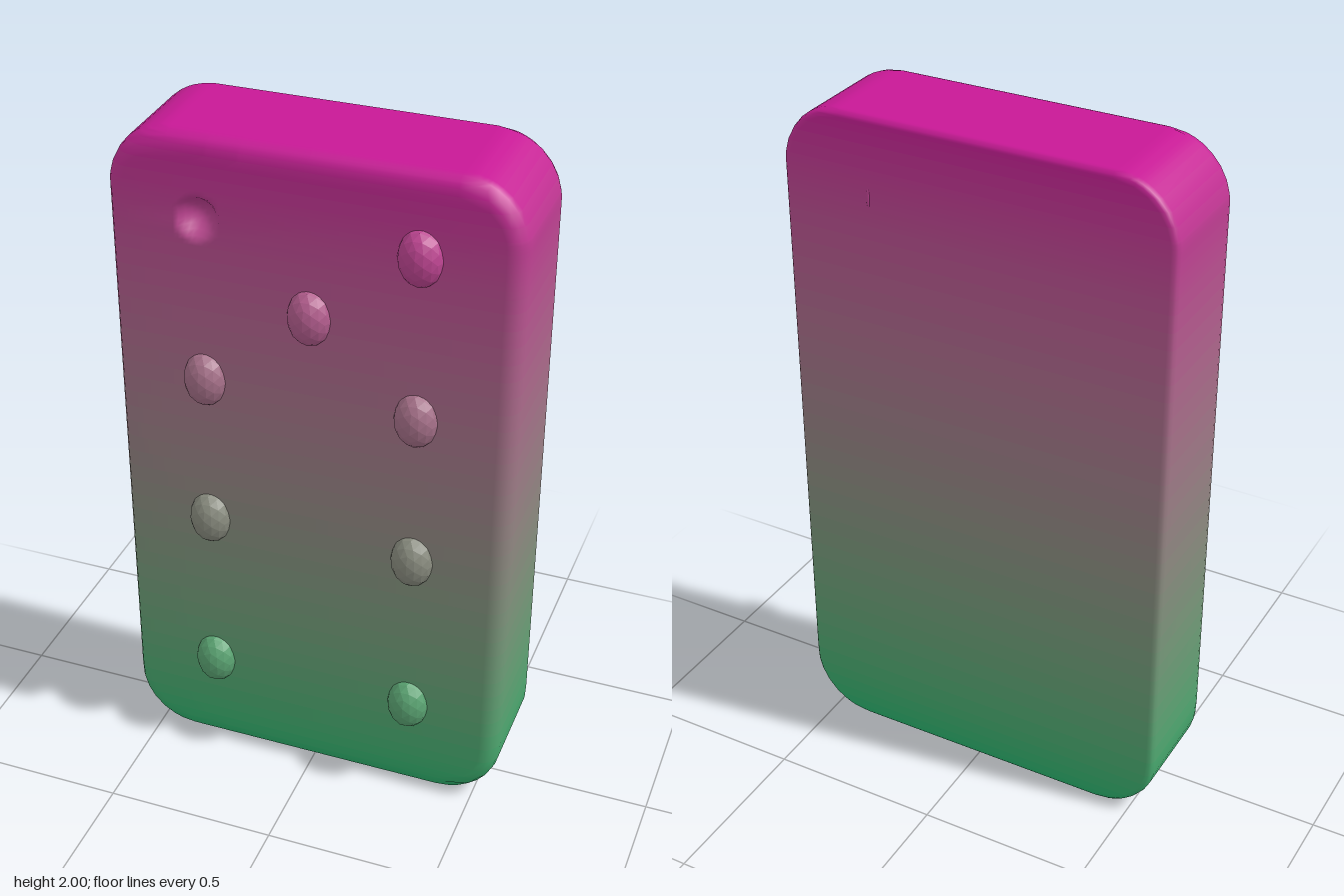
import * as THREE from 'three';
import { mergeVertices } from 'three/addons/utils/BufferGeometryUtils.js';

const H = 2, W = 0.572, R = 0.18;           // height, half width, corner radius
const FRONT = { z: 0.15, e: 0.05, dir: 1 }; // face planes and their edge roundings
const BACK = { z: -0.2, e: 0.02, dir: -1 };
const DENT = { x: -0.31, y: 1.77, r: 0.062, depth: 0.05 };

// Colour fades from green at the foot to magenta at the top
const green = new THREE.Color(0x22b06a), magenta = new THREE.Color(0xc81896);
const colorAt = (y) => green.clone().lerp(magenta, y / H);

// Half width of the rounded outline, inset by t, at height y
function halfWidth(y, t) {
  const dy = Math.max(0, Math.abs(y - H / 2) - (H / 2 - R));
  return W - R + Math.sqrt(Math.max(0, (R - t) ** 2 - dy * dy));
}

// Point on the rounded edge of one face: [half width, z]
function edgePoint(face, y, inset) {
  const t = Math.min(inset, y, H - y);
  const k = Math.min(t, face.e);
  const drop = face.e - Math.sqrt(face.e ** 2 - (face.e - k) ** 2);
  return [halfWidth(y, t), face.z - face.dir * drop];
}

// Horizontal section, running front left to right and then round the back
const frontInsets = [0.05, 0.03, 0.015, 0.004, 0];
const backInsets = [0, 0.004, 0.01, 0.02];
const columns = [-1];
for (let i = 0; i <= 10; i++) columns.push(-0.725 + i * 0.025);
columns.push(0, 1);

function section(y) {
  const [w, z] = edgePoint(FRONT, y, FRONT.e);
  const points = columns.map((u) => {
    const q = Math.hypot(u * w - DENT.x, y - DENT.y) / DENT.r;
    return [u * w, y, z - DENT.depth * Math.max(0, 1 - q * q)];
  });
  const side = [
    ...frontInsets.slice(1).map((t) => edgePoint(FRONT, y, t)),
    ...backInsets.map((t) => edgePoint(BACK, y, t)),
  ];
  side.forEach(([x, sz]) => points.push([x, y, sz]));
  side.reverse().forEach(([x, sz]) => points.push([-x, y, sz]));
  return points;
}

// Body: one smooth skin, shown as thin horizontal bands of colour
function makeBody() {
  const ends = [0, 0.0015, 0.004, 0.01, 0.015, 0.02, 0.03, 0.05, 0.08, 0.115, 0.15];
  const rows = [...ends];
  for (let y = 0.2; y < 1.66; y += 0.05) rows.push(y);
  for (let y = 1.69; y < 1.845; y += 0.0125) rows.push(y);
  ends.slice().reverse().forEach((d) => rows.push(H - d));

  const rings = rows.map(section);
  const n = rings[0].length;
  const index = [], starts = [];
  for (let j = 0; j < rows.length - 1; j++) {
    starts.push(index.length);
    for (let i = 0; i < n; i++) {
      const a = j * n + i, b = j * n + (i + 1) % n;
      index.push(a, b, b + n, a, b + n, a + n);
    }
    // Flat ends
    const top = (rows.length - 1) * n;
    for (let k = 1; k < n - 1; k++) {
      if (j === 0) index.push(0, k + 1, k);
      if (j === rows.length - 2) index.push(top, top + k, top + k + 1);
    }
  }
  starts.push(index.length);

  let skin = new THREE.BufferGeometry();
  skin.setAttribute('position', new THREE.Float32BufferAttribute(rings.flat(2), 3));
  skin.setIndex(index);
  skin = mergeVertices(skin, 1e-5);
  skin.computeVertexNormals();

  const body = new THREE.Group();
  body.name = 'body';
  const merged = Array.from(skin.index.array);
  for (let j = 0; j < rows.length - 1; j++) {
    const geometry = new THREE.BufferGeometry();
    geometry.setAttribute('position', skin.getAttribute('position'));
    geometry.setAttribute('normal', skin.getAttribute('normal'));
    geometry.setIndex(merged.slice(starts[j], starts[j + 1]));
    const color = colorAt((rows[j] + rows[j + 1]) / 2);
    const band = new THREE.Mesh(geometry, new THREE.MeshStandardMaterial({ color }));
    band.name = 'bodyBand';
    body.add(band);
  }
  return body;
}

export function createModel() {
  const model = new THREE.Group();
  model.name = 'dominoTile';
  model.add(makeBody());

  // Raised faceted pips; the upper one on the model's right is the dent
  const pipGeometry = new THREE.IcosahedronGeometry(1, 2);
  const pips = [
    [0.3, 1.765], [0, 1.535],
    ...[1.285, 0.825, 0.31].flatMap((y) => [[-0.305, y], [0.3, y]]),
  ];
  for (const [x, y] of pips) {
    const material = new THREE.MeshStandardMaterial({ color: colorAt(y), flatShading: true });
    const pip = new THREE.Mesh(pipGeometry, material);
    pip.name = 'pip';
    pip.position.set(x, y, 0.14);
    pip.scale.set(0.062, 0.082, 0.06);
    model.add(pip);
  }

  // Small nick on the back
  const nick = new THREE.Mesh(
    new THREE.SphereGeometry(1, 8, 6),
    new THREE.MeshStandardMaterial({ color: colorAt(1.77) }),
  );
  nick.name = 'backNick';
  nick.position.set(0.31, 1.77, -0.198);
  nick.scale.set(0.006, 0.03, 0.005);
  model.add(nick);

  return model;
}
